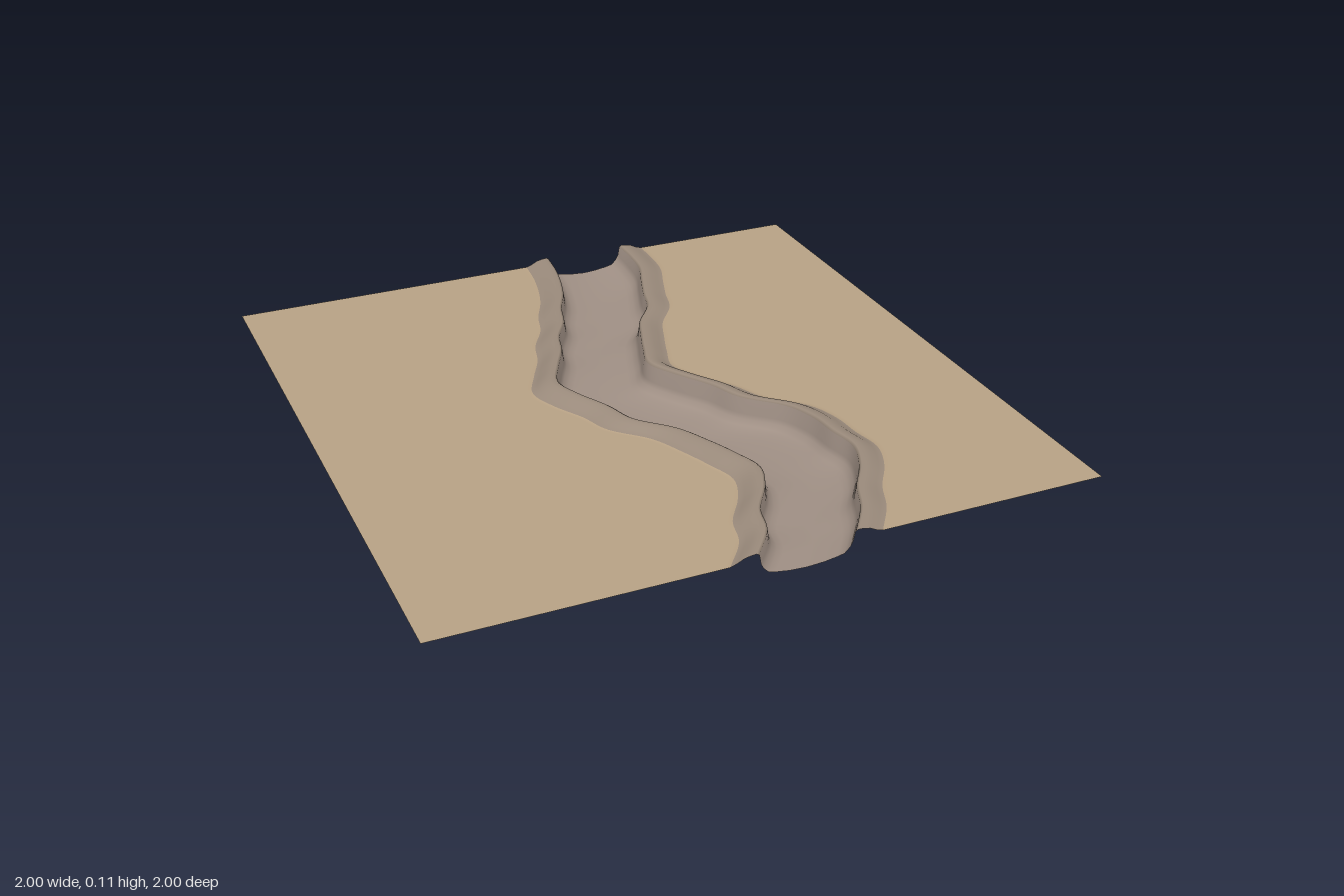
import * as THREE from 'three';

// Wall lines of the winding channel, sampled every 0.1 from z = -1 to z = 1
const LEFT_WALL = [.10, .09, .07, .04, -.005, -.035, -.09, -.12, -.17, -.21, -.18, -.125, -.085, .01, .06, .1, .13, .095, .03, 0, -.075];
const RIGHT_WALL = [.36, .36, .35, .315, .28, .25, .18, .14, .105, .08, .13, .2, .25, .35, .39, .4, .415, .38, .315, .27, .2];
// Height changes of the floor and of the bank crests along z, every 0.25
const FLOOR = [.02, .011, .01, .012, .006, .002, .006, .011, .022];
const CREST = [.102, .102, .102, .109, .11, .102, .107, .105, .102];

const GROUND = 0.08;
// Half cross-section: [offset towards the channel, height above the floor or ground, kind]
const PROFILE = [
  [-.105, 0, 'ground'], [-.09, .0, 'ground'], [-.07, .3, 'bank'], [-.05, .75, 'bank'],
  [-.03, .95, 'bank'], [-.014, 1, 'bank'], [-.006, .8, 'bank'],
  [.0, .045, 'bed'], [.008, .03, 'bed'], [.024, .014, 'bed'], [.045, .009, 'bed'], [.085, .003, 'bed'],
];

const curve = (values) => {
  const c = new THREE.CatmullRomCurve3(values.map((v) => new THREE.Vector3(v, 0, 0)), false, 'catmullrom', 0.5);
  return (t) => c.getPoint(t).x;
};

export function createModel() {
  const group = new THREE.Group();
  const material = (name, color) => new THREE.MeshStandardMaterial({ name, color, side: THREE.DoubleSide });
  const sand = material('sand', 0xb8a285);
  const bankStone = material('bank stone', 0x9b8b7c);
  const bedStone = material('bed stone', 0xa09085);

  const left = curve(LEFT_WALL), right = curve(RIGHT_WALL);
  const floor = curve(FLOOR), crest = curve(CREST);
  const rows = 100;
  const positions = [];

  // One full cross-section per row: ground edge, left bank, bed, right bank, ground edge
  for (let i = 0; i <= rows; i++) {
    const t = i / rows, z = t * 2 - 1;
    const height = ([, h, kind]) => (kind === 'bed' ? floor(t) + h : GROUND + h * (crest(t) - GROUND));
    const l = left(t), r = right(t);
    const section = [[-1, GROUND]];
    PROFILE.forEach((p) => section.push([l + p[0], height(p)]));
    section.push([(l + r) / 2, floor(t)]);
    [...PROFILE].reverse().forEach((p) => section.push([r - p[0], height(p)]));
    section.push([1, GROUND]);
    section.forEach(([x, y]) => positions.push(x, y, z));
  }

  // Smooth normals are worked out on the whole sheet, so the parts join without seams
  const cols = PROFILE.length * 2 + 3;
  const strip = (from, to) => {
    const index = [];
    for (let i = 0; i < rows; i++) {
      for (let j = from; j < to; j++) {
        const a = i * cols + j, b = a + cols;
        index.push(a, b, a + 1, b, b + 1, a + 1);
      }
    }
    return index;
  };
  const sheet = new THREE.BufferGeometry();
  sheet.setAttribute('position', new THREE.Float32BufferAttribute(positions, 3));
  sheet.setIndex(strip(0, cols - 1));
  sheet.computeVertexNormals();

  const addPart = (name, from, to, mat) => {
    sheet.setIndex(strip(from, to));
    const mesh = new THREE.Mesh(sheet.toNonIndexed(), mat);
    mesh.name = name;
    group.add(mesh);
  };
  const last = cols - 1;
  addPart('rightGround', 0, 2, sand);
  addPart('rightBank', 2, 7, bankStone);
  addPart('channelBed', 7, last - 7, bedStone);
  addPart('leftBank', last - 7, last - 2, bankStone);
  addPart('leftGround', last - 2, last, sand);

  return group;
}
